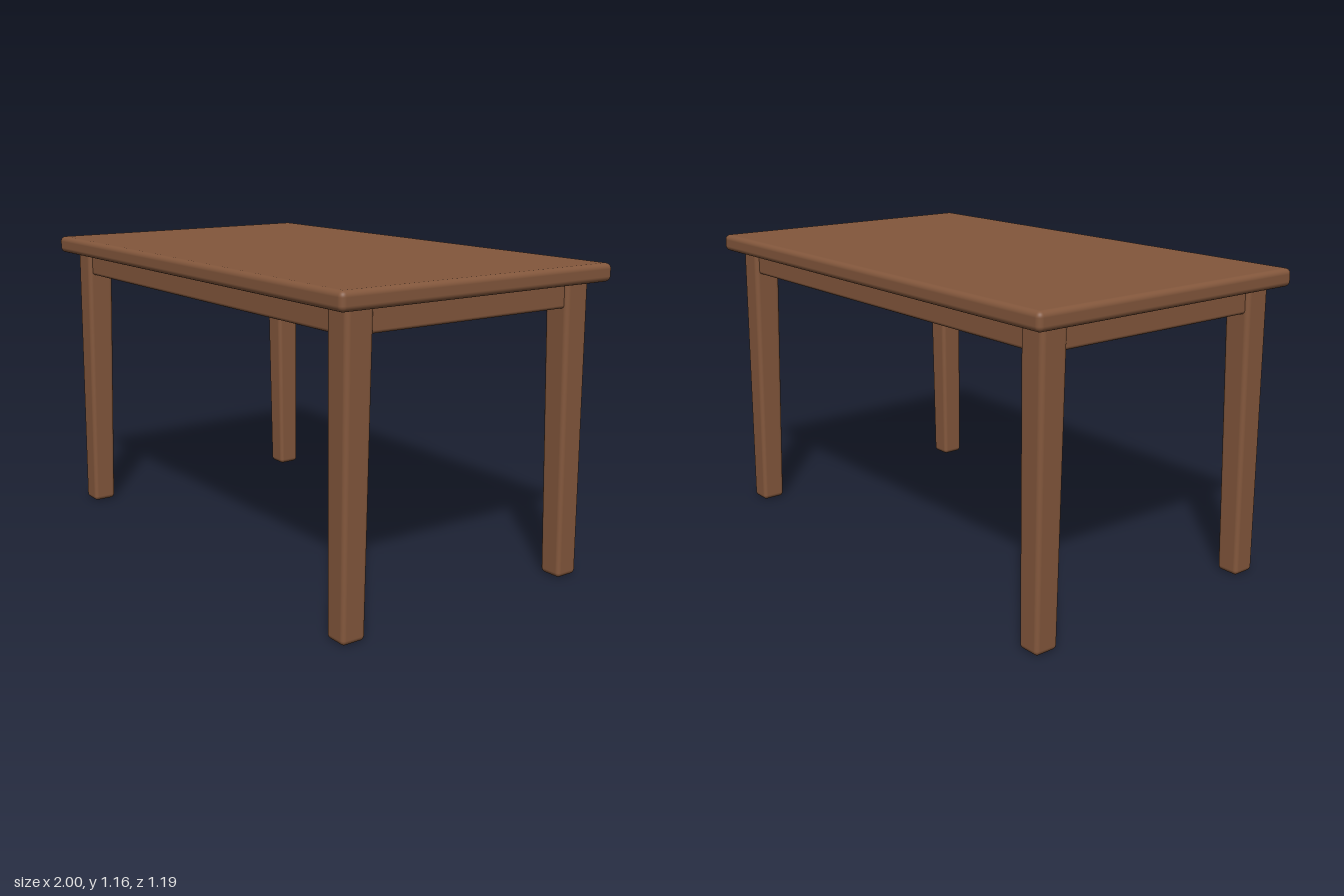
import * as THREE from 'three';
import { RoundedBoxGeometry } from 'three/addons/geometries/RoundedBoxGeometry.js';

export function createModel() {
  const table = new THREE.Group();
  table.name = 'table';
  const wood = new THREE.MeshStandardMaterial({ name: 'brown wood', color: 0x83573c });

  function add(name, geometry, x, y, z) {
    const mesh = new THREE.Mesh(geometry, wood);
    mesh.name = name;
    mesh.position.set(x, y, z);
    table.add(mesh);
  }

  // Tabletop with softened edges
  add('tabletop', new RoundedBoxGeometry(2, 0.066, 1.19, 4, 0.02), 0, 1.127, 0);

  // Legs taper towards the foot and splay slightly outwards
  const legHeight = 1.11;
  function legGeometry(sx, sz) {
    const geometry = new RoundedBoxGeometry(0.106, legHeight, 0.11, 4, 0.018);
    const p = geometry.attributes.position;
    for (let i = 0; i < p.count; i++) {
      const down = 0.5 - p.getY(i) / legHeight;
      const scale = 1 - 0.15 * down;
      p.setX(i, p.getX(i) * scale + sx * 0.011 * down);
      p.setZ(i, p.getZ(i) * scale + sz * 0.017 * down);
    }
    return geometry;
  }
  for (const sx of [-1, 1]) {
    for (const sz of [-1, 1]) {
      const name = (sz > 0 ? 'front' : 'back') + (sx > 0 ? 'Left' : 'Right') + 'Leg';
      add(name, legGeometry(sx, sz), sx * 0.894, legHeight / 2, sz * 0.48);
    }
  }

  // Aprons joining the legs under the top
  for (const s of [-1, 1]) {
    add(s > 0 ? 'frontApron' : 'backApron',
      new RoundedBoxGeometry(1.76, 0.11, 0.07, 3, 0.012), 0, 1.06, s * 0.485);
    add(s > 0 ? 'leftApron' : 'rightApron',
      new RoundedBoxGeometry(0.07, 0.11, 0.93, 3, 0.012), s * 0.898, 1.06, 0);
  }
  return table;
}
